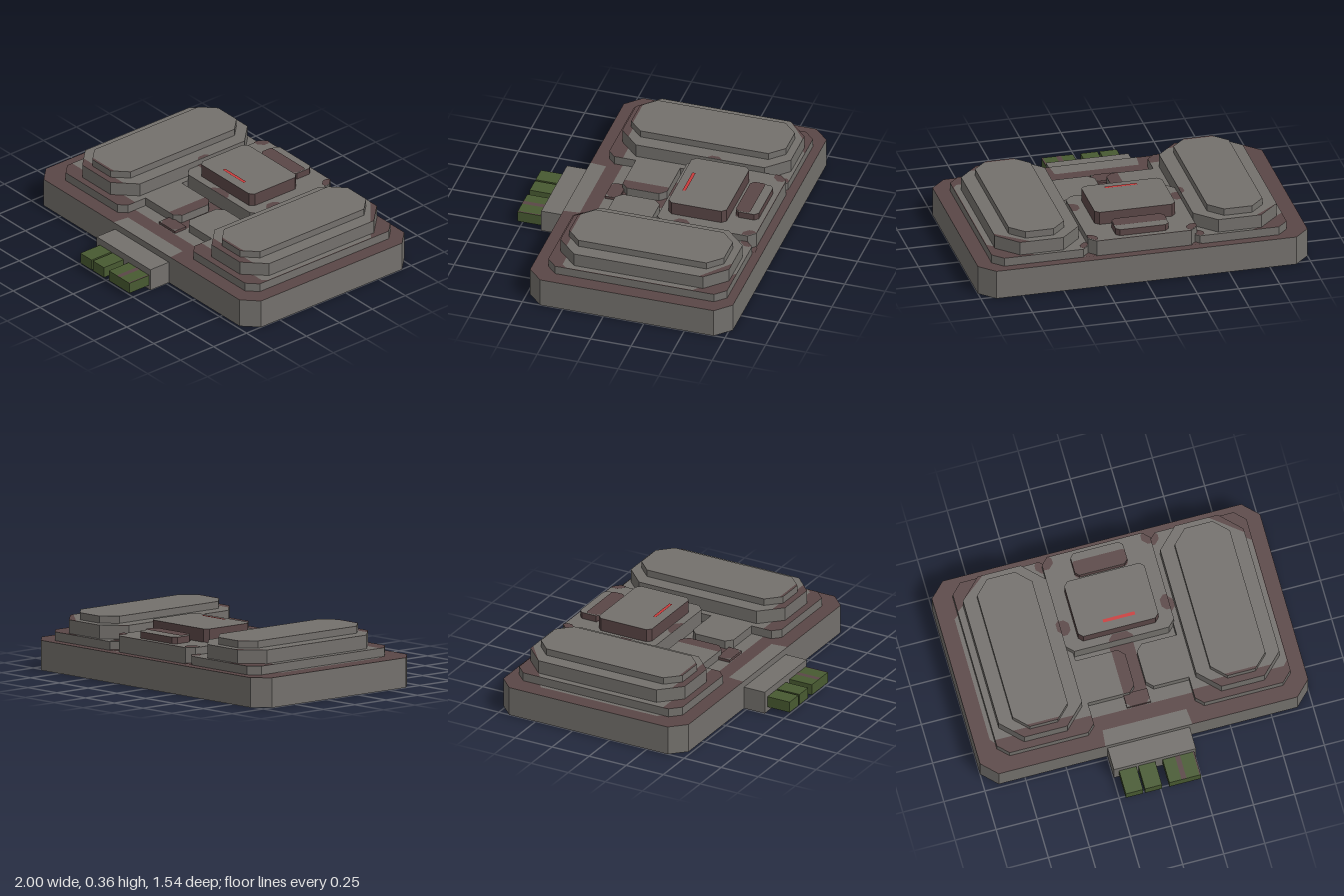
import * as THREE from 'three';

const flat = (name, color) => {
  const m = new THREE.MeshStandardMaterial({ color, side: THREE.DoubleSide, flatShading: true });
  m.name = name;
  return m;
};

// Octagon in plan as [x, z] points; cl / cr are the left-edge and right-edge corner cuts
function oct(x0, x1, z0, z1, cl = 0, cr = cl) {
  const p = [[x0 + cl, z0], [x1 - cr, z0], [x1, z0 + cr], [x1, z1 - cr],
    [x1 - cr, z1], [x0 + cl, z1], [x0, z1 - cl], [x0, z0 + cl]];
  return p.filter(([x, z], i) => {
    const q = p[(i + 1) % 8];
    return Math.hypot(q[0] - x, q[1] - z) > 1e-6;
  });
}

// Cut one convex outline by another
function clip(poly, cutter) {
  let out = poly;
  cutter.forEach((a, i) => {
    const b = cutter[(i + 1) % cutter.length];
    const side = (p) => (b[0] - a[0]) * (p[1] - a[1]) - (b[1] - a[1]) * (p[0] - a[0]);
    const next = [];
    out.forEach((p, j) => {
      const q = out[(j + 1) % out.length];
      const sp = side(p), sq = side(q);
      if (sp >= 0) next.push(p);
      if ((sp > 0 && sq < 0) || (sp < 0 && sq > 0)) {
        const t = sp / (sp - sq);
        next.push([p[0] + (q[0] - p[0]) * t, p[1] + (q[1] - p[1]) * t]);
      }
    });
    out = next;
  });
  return out;
}

// Flat horizontal face
function face(poly, y) {
  const s = new THREE.Shape(poly.map(([x, z]) => new THREE.Vector2(x, -z)));
  return new THREE.ShapeGeometry(s).rotateX(-Math.PI / 2).translate(0, y, 0);
}

// Vertical walls around an outline
function walls(poly, y0, y1) {
  const pos = [], idx = [];
  poly.forEach(([x, z], i) => {
    const [u, w] = poly[(i + 1) % poly.length];
    pos.push(x, y0, z, u, y0, w, u, y1, w, x, y1, z);
    const k = i * 4;
    idx.push(k, k + 2, k + 1, k, k + 3, k + 2);
  });
  const g = new THREE.BufferGeometry();
  g.setAttribute('position', new THREE.Float32BufferAttribute(pos, 3));
  g.setIndex(idx);
  g.computeVertexNormals();
  return g;
}

export function createModel() {
  const root = new THREE.Group();
  root.name = 'steppedPlatform';
  const grey = flat('stoneGrey', 0x73706c);
  const brown = flat('darkBrown', 0x5a4646);
  const green = flat('mossGreen', 0x485a31);
  const red = flat('signalRed', 0xc83c3c);

  // Painted areas in plan, laid over every upper surface they cross
  const paint = [
    [grey, [[-0.66, -0.715], [0.66, -0.715], [0.905, -0.52], [0.905, 0.26],
      [0.88, 0.29], [-0.88, 0.29], [-0.905, 0.26], [-0.905, -0.52]]],
    [grey, [[-0.25, 0.38], [0.26, 0.38], [0.27, 0.48], [-0.26, 0.48]]],
    [brown, oct(-0.075, 0.07, -0.15, 0.29, 0.03)],
    [brown, oct(-0.355, -0.275, -0.31, -0.215, 0.025)],
    [brown, oct(0.28, 0.36, -0.31, -0.215, 0.025)],
    [brown, oct(-0.37, -0.265, -0.73, -0.64, 0.03)],
    [brown, oct(0.275, 0.38, -0.73, -0.64, 0.03)],
    [brown, oct(-0.16, 0.16, -0.635, -0.545, 0.01)],
    [red, oct(-0.085, 0.11, -0.225, -0.205)],
  ];

  const add = (parent, name, geo, mat) => {
    const m = new THREE.Mesh(geo, mat);
    m.name = name;
    parent.add(m);
  };
  const paintFace = (parent, name, poly, y, dir) => paint.forEach(([mat, area], i) => {
    const piece = clip(poly, area);
    if (piece.length > 2) add(parent, name + 'Paint', face(piece, y + dir * 0.0008 * (i + 1)), mat);
  });

  // Raised plate: walls, brown top and painted areas
  function plate(name, poly, y0, y1, sideMat = grey) {
    const g = new THREE.Group();
    g.name = name;
    add(g, name + 'Walls', walls(poly, y0, y1), sideMat);
    add(g, name + 'Top', face(poly, y1), brown);
    paintFace(g, name, poly, y1, 1);
    root.add(g);
    return g;
  }

  // Hollow base, painted on its ceiling as well
  const baseOutline = oct(-1, 1, -0.77, 0.48, 0.09);
  const base = plate('base', baseOutline, 0, 0.178);
  paintFace(base, 'ceiling', baseOutline, 0.178, -1);

  // Stepped mound on each side
  const axis = 0.015;
  for (const s of [-1, 1]) {
    const side = s < 0 ? 'right' : 'left';
    const span = (a, b, z0, z1, cOut, cIn) => (s < 0
      ? oct(axis - b, axis - a, z0, z1, cOut, cIn)
      : oct(axis + a, axis + b, z0, z1, cIn, cOut));
    plate(side + 'Tray', span(0.308, 0.895, -0.715, 0.388, 0.062, 0.045), 0.178, 0.23);
    plate(side + 'MoundLower', span(0.347, 0.855, -0.695, 0.345, 0.123, 0.123), 0.23, 0.312);
    plate(side + 'MoundUpper', span(0.434, 0.77, -0.65, 0.305, 0.083, 0.083), 0.23, 0.355);
  }

  // Low pads either side of the channel
  plate('rightPad', oct(-0.293, 0, -0.064, 0.21, 0, 0.038), 0.178, 0.23);
  plate('leftPad', oct(0.07, 0.323, -0.064, 0.21, 0.038, 0), 0.178, 0.23);
  plate('channelSlab', oct(-0.075, 0.07, 0.2, 0.285), 0.178, 0.195, brown);

  // Centre platform with its block and rear ledge
  plate('centrePlatform', oct(-0.33, 0.33, -0.718, -0.107, 0.042), 0.178, 0.275);
  plate('centreBlock', oct(-0.246, 0.243, -0.512, -0.155, 0.025), 0.275, 0.355, brown);
  plate('rearLedge', oct(-0.16, 0.16, -0.685, -0.545, 0.022), 0.275, 0.315, brown);

  // Open-bottomed connector housing at the front
  const housing = oct(-0.247, 0.253, 0.48, 0.62);
  add(root, 'connectorWalls', walls(housing, 0, 0.138), grey);
  add(root, 'connectorTop', face(housing, 0.138), grey);

  // Green terminals
  for (const [x0, x1] of [[-0.215, -0.11], [-0.098, 0.005], [0.05, 0.242]]) {
    const g = new THREE.BoxGeometry(x1 - x0, 0.067, 0.15);
    add(root, 'terminal', g.translate((x0 + x1) / 2, 0.0625, 0.695), green);
  }
  for (const [x0, x1] of [[0.125, 0.155], [0.234, 0.242]]) {
    add(root, 'terminalStripe', face(oct(x0, x1, 0.62, 0.77), 0.0975), brown);
  }
  return root;
}
